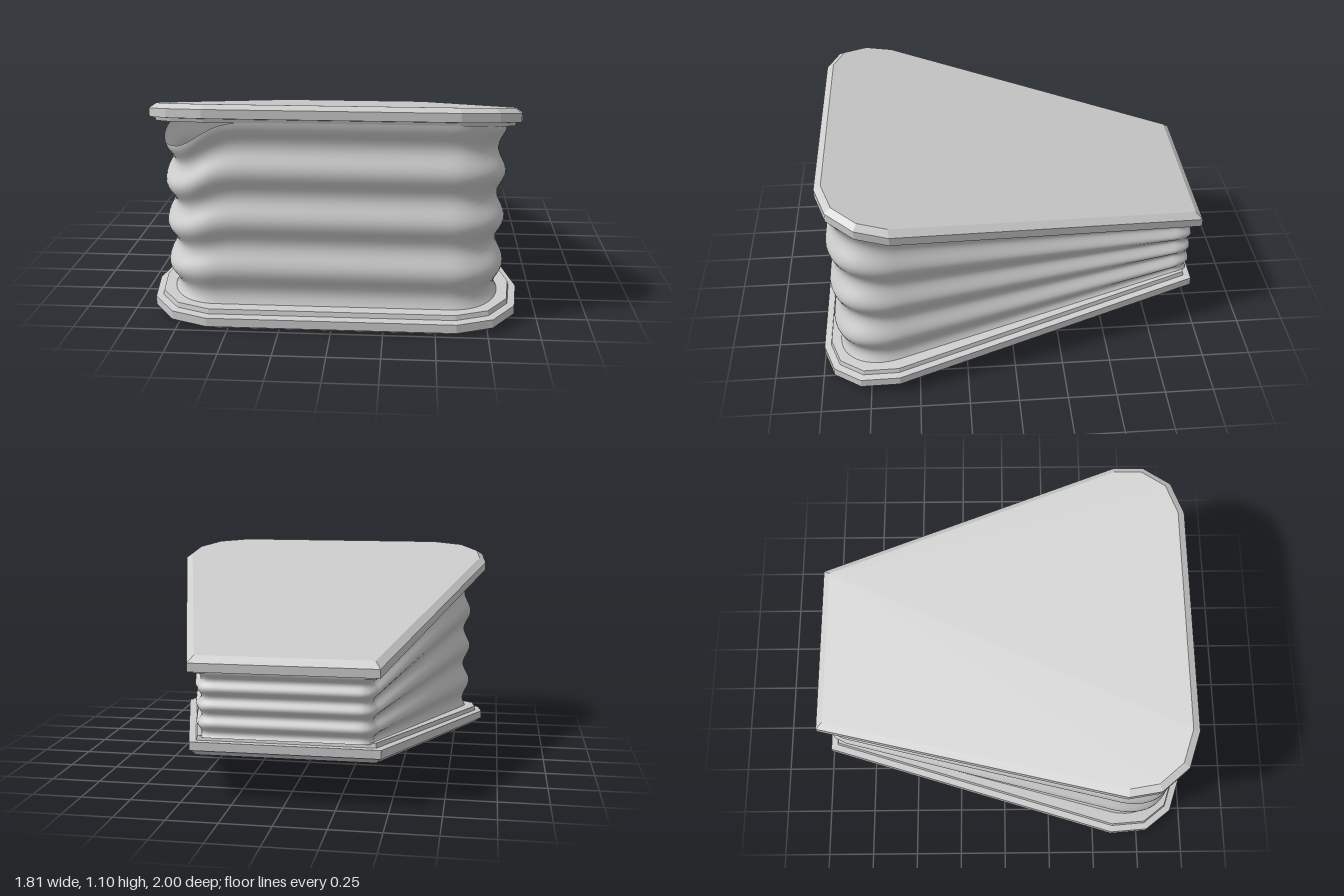
import * as THREE from 'three';

const grey = new THREE.MeshStandardMaterial({ color: 0xcccccc });
grey.name = 'grey';
grey.side = THREE.DoubleSide;

// Full outline from its +x half, given from the back to the front
const mirrorHalf = (half) => [...half, ...half.slice().reverse().map(([x, z]) => [-x, z])];

// Moves every edge of a convex outline inwards by d
function inset(pts, d) {
  const n = pts.length;
  const normals = pts.map(([x, z], i) => {
    const [x2, z2] = pts[(i + 1) % n];
    const len = Math.hypot(x2 - x, z2 - z);
    return [-(z2 - z) / len, (x2 - x) / len];
  });
  return pts.map(([x, z], i) => {
    const a = normals[(i + n - 1) % n], b = normals[i];
    const k = d / (1 + a[0] * b[0] + a[1] * b[1]);
    return [x + (a[0] + b[0]) * k, z + (a[1] + b[1]) * k];
  });
}

// Sloping board: layers are [inset, height], from bottom to top
function board(name, half, slope, layers) {
  const outline = mirrorHalf(half), n = outline.length;
  const rings = layers.map(([d, h]) => inset(outline, d).map(([x, z]) => [x, h + slope * z, z]));
  const pos = [];
  for (let r = 0; r < rings.length - 1; r++) {
    for (let i = 0; i < n; i++) {
      const j = (i + 1) % n, lo = rings[r], up = rings[r + 1];
      pos.push(...lo[i], ...up[i], ...lo[j], ...lo[j], ...up[i], ...up[j]);
    }
  }
  const top = rings[rings.length - 1], bottom = rings[0];
  for (let i = 1; i < n - 1; i++) {
    pos.push(...bottom[0], ...bottom[i], ...bottom[i + 1]);
    pos.push(...top[0], ...top[i + 1], ...top[i]);
  }
  const geo = new THREE.BufferGeometry();
  geo.setAttribute('position', new THREE.Float32BufferAttribute(pos, 3));
  geo.computeVertexNormals();
  const mesh = new THREE.Mesh(geo, grey);
  mesh.name = name;
  return mesh;
}

const bump = (v, centre, width) => Math.exp(-(((v - centre) / width) ** 2));

// Pleated skin between the two boards
function bellows() {
  const shape = new THREE.Shape();
  shape.moveTo(0, -0.955);
  shape.lineTo(0.37, -0.955);
  shape.quadraticCurveTo(0.41, -0.955, 0.425, -0.9);
  shape.lineTo(0.8, 0.6);
  shape.bezierCurveTo(0.835, 0.76, 0.75, 0.905, 0.58, 0.912);
  shape.lineTo(-0.58, 0.912);
  shape.bezierCurveTo(-0.75, 0.905, -0.835, 0.76, -0.8, 0.6);
  shape.lineTo(-0.425, -0.9);
  shape.quadraticCurveTo(-0.41, -0.955, -0.37, -0.955);
  shape.lineTo(0, -0.955);
  const n = 200, rows = 48;
  const pts = shape.getSpacedPoints(n).slice(0, n);
  const pos = [], index = [];
  for (let r = 0; r <= rows; r++) {
    const t = r / rows;
    pts.forEach((p, i) => {
      const a = pts[(i + n - 1) % n], b = pts[(i + 1) % n];
      const len = Math.hypot(b.x - a.x, b.y - a.y);
      const nx = (b.y - a.y) / len, nz = -(b.x - a.x) / len;
      const corner = bump(Math.abs(p.x), 0.77, 0.08) * bump(p.y, 0.82, 0.12);
      const amp = (p.y < -0.9 ? 0.01 : 0.017) + 0.008 * corner;
      const fold = amp * Math.cos((2 * Math.PI * (t - 0.2)) / 0.267);
      const low = 0.2 - 0.117 * p.y;
      // The skin sags away from the upper board at one front corner
      const sag = p.y > 0.5 ? 0.12 * bump(p.x, -0.73, 0.15) * THREE.MathUtils.smoothstep(p.y, 0.55, 0.8) : 0;
      const high = 0.828 + 0.203 * p.y - sag;
      pos.push(p.x + nx * fold, low + (high - low) * t, p.y + nz * fold);
      if (r < rows) {
        const j = (i + 1) % n, q = r * n;
        index.push(q + i, q + n + i, q + j, q + j, q + n + i, q + n + j);
      }
    });
  }
  const geo = new THREE.BufferGeometry();
  geo.setAttribute('position', new THREE.Float32BufferAttribute(pos, 3));
  geo.setIndex(index);
  geo.computeVertexNormals();
  const mesh = new THREE.Mesh(geo, grey);
  mesh.name = 'bellowsSkin';
  return mesh;
}

export function createModel() {
  const group = new THREE.Group();
  group.name = 'bellows';
  // Lower board with a raised step inside its rim
  group.add(board('lowerBoard',
    [[0.46, -0.97], [0.905, 0.6], [0.885, 0.8], [0.775, 0.94], [0.6, 1.0]], -0.117,
    [[0.035, 0.112], [0.005, 0.137], [0, 0.137], [0, 0.18], [0.035, 0.184], [0.04, 0.207]]));
  // Upper board, sloping down to the back
  group.add(board('upperBoard',
    [[0.455, -0.995], [0.905, 0.6], [0.885, 0.76], [0.775, 0.895], [0.595, 0.955]], 0.203,
    [[0.03, 0.822], [0.025, 0.839], [0, 0.841], [0, 0.884], [0.035, 0.909]]));
  group.add(bellows());
  return group;
}
